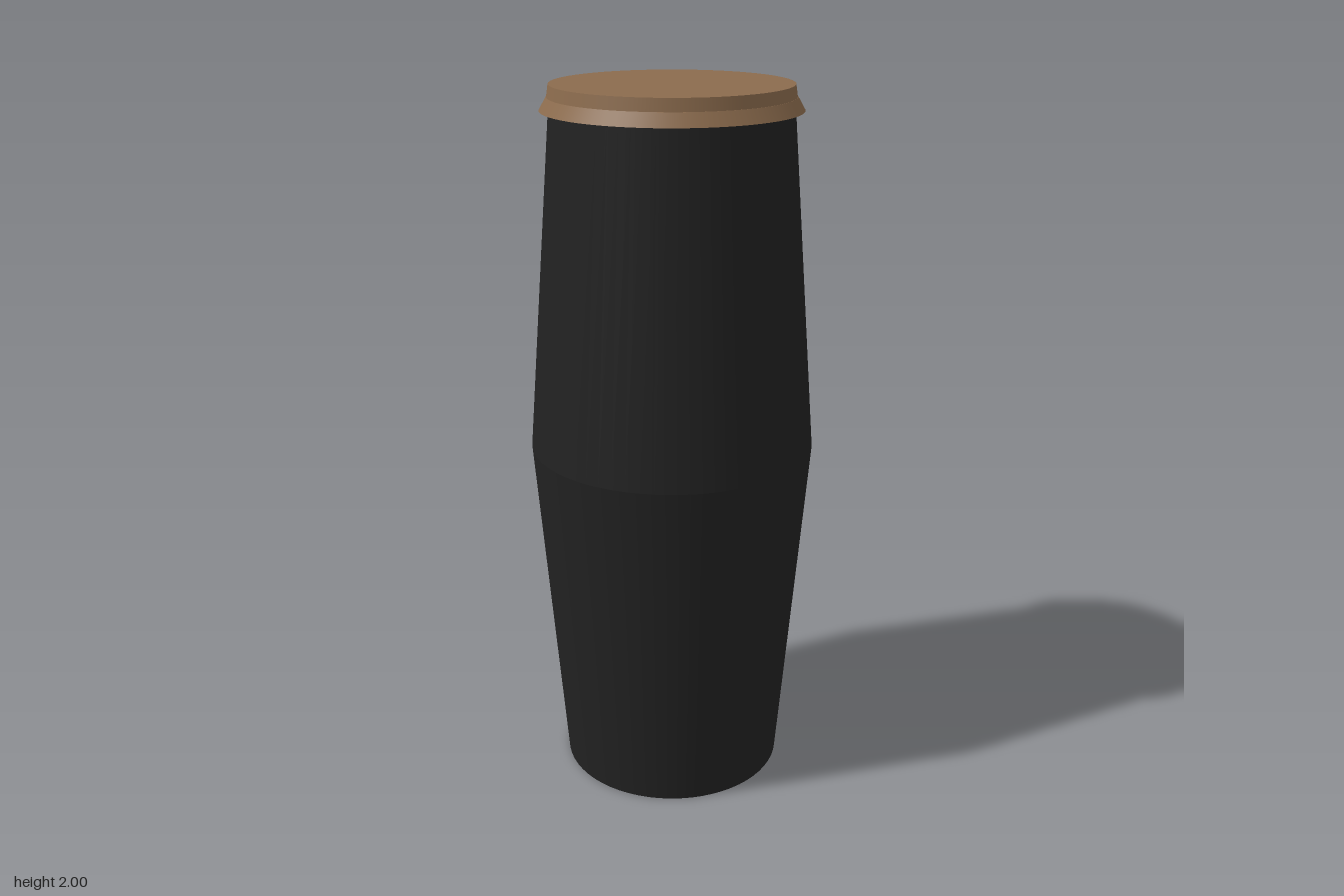
import * as THREE from 'three';

const SEGMENTS = 64;

export function createModel() {
  const model = new THREE.Group();
  const black = new THREE.MeshStandardMaterial({ color: 0x222222 });
  black.name = 'black';
  const brown = new THREE.MeshStandardMaterial({ color: 0x8b6b4d });
  brown.name = 'brown';

  // Tapered section standing on yBottom
  function section(name, rTop, rBottom, yBottom, yTop, material, open = false) {
    const geometry = new THREE.CylinderGeometry(rTop, rBottom, yTop - yBottom, SEGMENTS, 1, open);
    const mesh = new THREE.Mesh(geometry, material);
    mesh.name = name;
    mesh.position.y = (yBottom + yTop) / 2;
    model.add(mesh);
  }

  // Barrel body, widest at mid height
  section('lowerBody', 0.4, 0.32, 0, 1, black);
  section('upperBody', 0.325, 0.4, 1, 1.94, black);

  // Lid with a flared rim below it
  section('lidRim', 0.33, 0.35, 1.932, 1.967, brown);
  section('lid', 0.324, 0.329, 1.967, 2, brown);

  return model;
}
